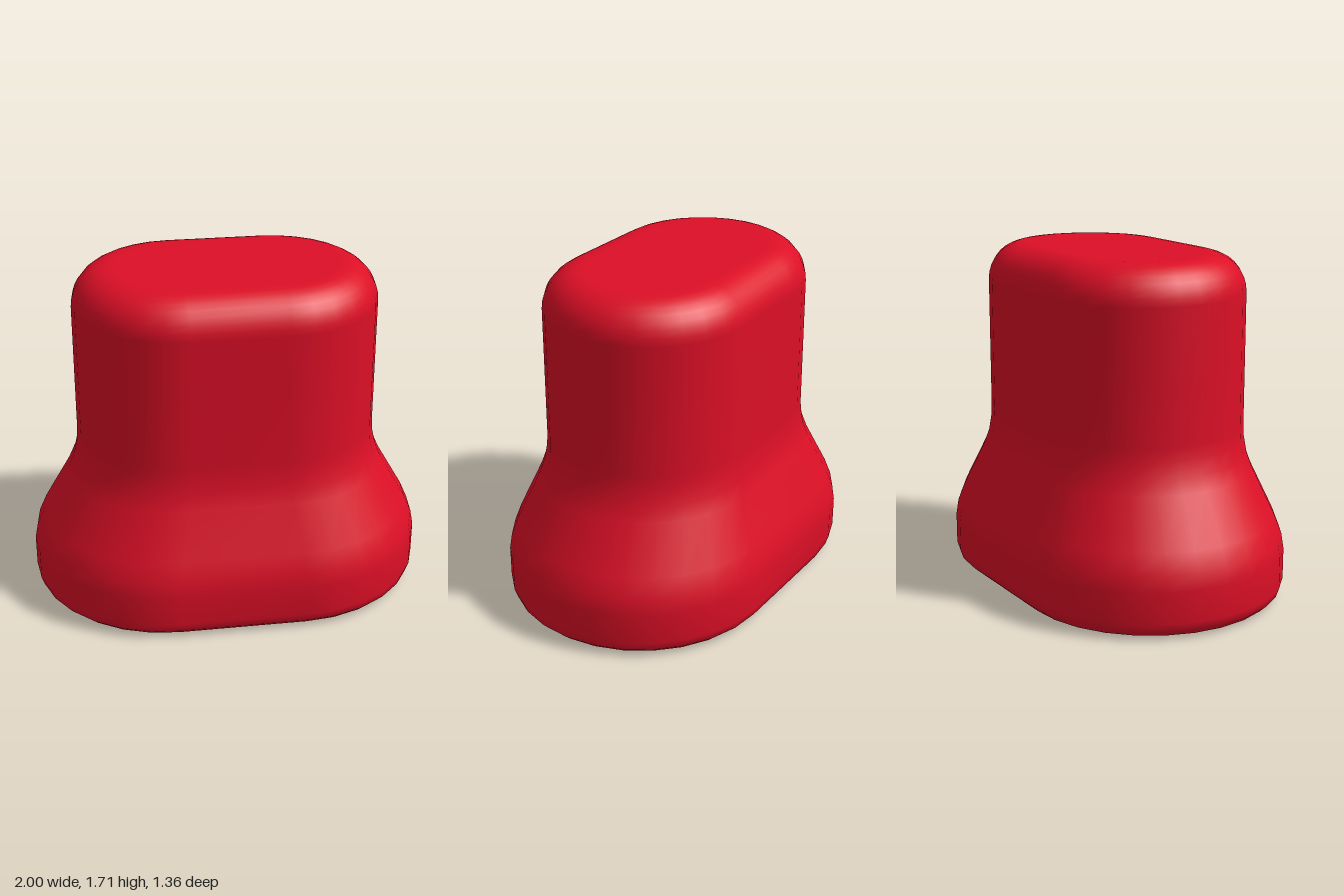
import * as THREE from 'three';

const HALF = 14; // segments around each rounded end

// Stadium-shaped loop: two half circles of radius r, centred at x = +c and x = -c.
function stadium(y, c, r) {
  const points = [];
  for (const side of [1, -1]) {
    for (let j = 0; j <= HALF; j++) {
      const a = (j / HALF - 0.5) * Math.PI;
      points.push([side * (c + r * Math.cos(a)), y, side * r * Math.sin(a)]);
    }
  }
  return points;
}

// Skin a list of [y, c, r] sections into one smooth surface.
function loft(sections) {
  const n = 2 * (HALF + 1);
  const positions = sections.flatMap(([y, c, r]) => stadium(y, c, r)).flat();
  const index = [];
  for (let i = 0; i < sections.length - 1; i++) {
    for (let j = 0; j < n; j++) {
      const a = i * n + j, b = i * n + (j + 1) % n;
      index.push(a, a + n, b, b, a + n, b + n);
    }
  }
  const geometry = new THREE.BufferGeometry();
  geometry.setAttribute('position', new THREE.Float32BufferAttribute(positions, 3));
  geometry.setIndex(index);
  geometry.computeVertexNormals();
  return geometry;
}

export function createModel() {
  const red = new THREE.MeshStandardMaterial({ color: 0xdc0f26 });
  red.name = 'red';
  const group = new THREE.Group();
  group.name = 'cap';

  // Outside: rounded foot, flare, waist and straight neck
  const outer = [
    [0, 0.32, 0.55], [0, 0.32, 0.60], [0.012, 0.32, 0.635], [0.04, 0.32, 0.665],
    [0.085, 0.32, 0.68], [0.24, 0.32, 0.68], [0.32, 0.315, 0.67], [0.41, 0.305, 0.64],
    [0.64, 0.262, 0.55], [0.72, 0.25, 0.527], [0.80, 0.242, 0.517], [0.86, 0.24, 0.515],
    [1.2, 0.24, 0.515],
  ];
  // Rounded shoulder and flat top
  for (let i = 0; i <= 8; i++) {
    const a = (i / 8) * Math.PI / 2;
    outer.push([1.52 + 0.185 * Math.sin(a), 0.24, 0.335 + 0.18 * Math.cos(a)]);
  }
  outer.push([1.705, 0.24, 0.31], [1.705, 0.24, 0]);
  const shell = new THREE.Mesh(loft(outer), red);
  shell.name = 'outerShell';

  // Underside rim, with a softened inner edge
  const rim = new THREE.Mesh(loft([
    [0.03, 0.31, 0.482], [0.008, 0.31, 0.492], [0, 0.315, 0.51], [0, 0.32, 0.55],
  ]), red);
  rim.name = 'rim';

  // Slightly tapering cavity, open below
  const cavity = new THREE.Mesh(loft([
    [1.5, 0.23, 0], [1.5, 0.23, 0.34], [1.5, 0.23, 0.36], [1.47, 0.23, 0.39],
    [1.42, 0.23, 0.40], [0.75, 0.265, 0.44], [0.03, 0.31, 0.482],
  ]), red);
  cavity.name = 'cavity';

  group.add(shell, rim, cavity);
  return group;
}
